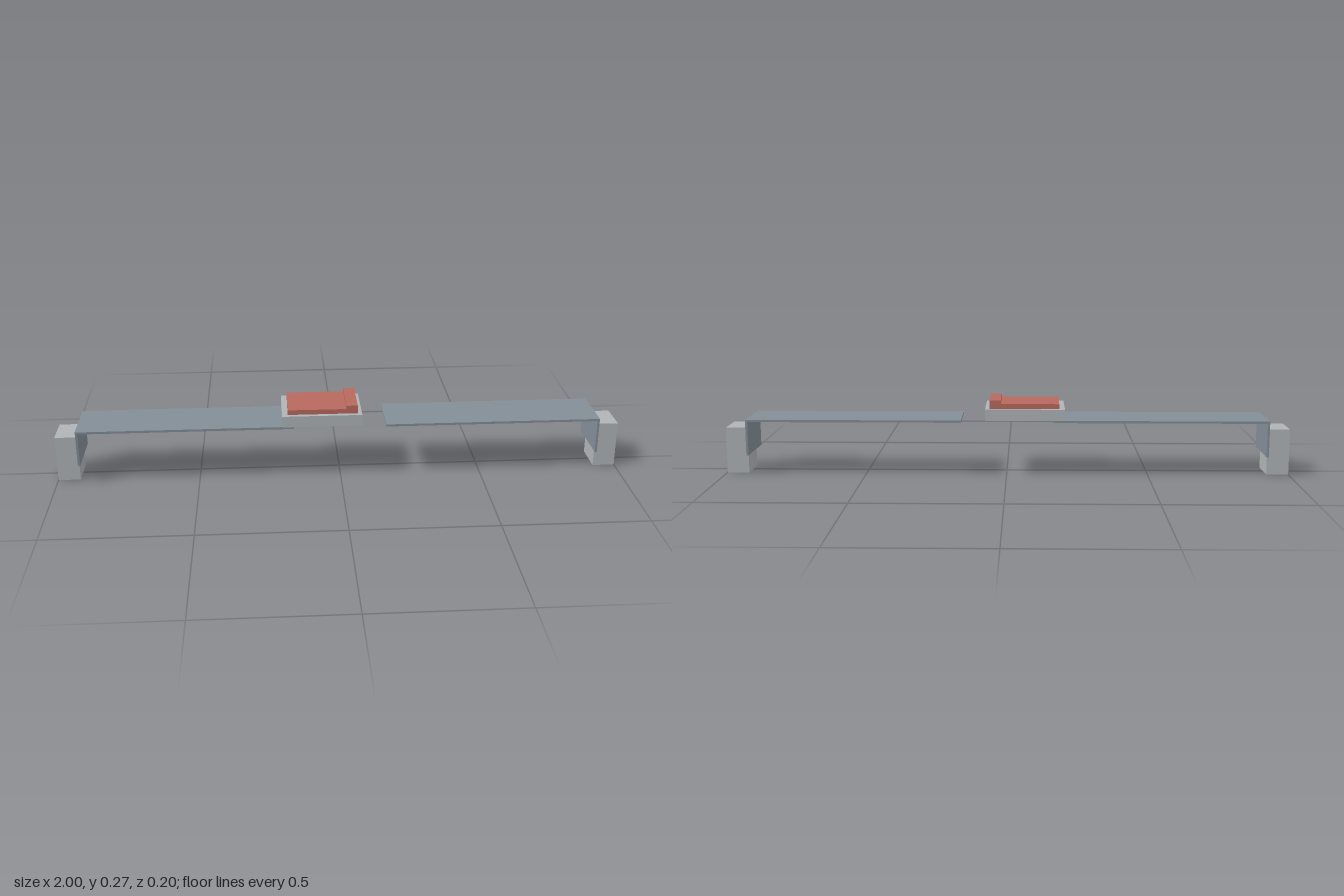
import * as THREE from 'three';

const material = (name, color) => {
  const m = new THREE.MeshStandardMaterial({ color });
  m.name = name;
  return m;
};

// Rectangle in the z-y plane with a hole, extruded along x from x0 to x1
function slab(halfZ, y0, y1, x0, x1, hole) {
  const s = new THREE.Shape();
  s.moveTo(-halfZ, y0).lineTo(halfZ, y0).lineTo(halfZ, y1).lineTo(-halfZ, y1).closePath();
  s.holes.push(hole);
  const g = new THREE.ExtrudeGeometry(s, { depth: x1 - x0, bevelEnabled: false, curveSegments: 32 });
  return g.rotateY(Math.PI / 2).translate(x0, 0, 0);
}

function block(x0, x1, y0, y1, halfZ) {
  return new THREE.BoxGeometry(x1 - x0, y1 - y0, halfZ * 2)
    .translate((x0 + x1) / 2, (y0 + y1) / 2, 0);
}

// L-shaped webbing: a long flat run folded down at its outer end
function strapGeometry(side, inner) {
  const outer = 0.921, top = 0.198, t = 0.008;
  const points = [[inner, top - t], [outer - t, top - t], [outer - t, 0.07],
    [outer, 0.07], [outer, top], [inner, top]];
  const s = new THREE.Shape(points.map(([x, y]) => new THREE.Vector2(side * x, y)));
  return new THREE.ExtrudeGeometry(s, { depth: 0.196, bevelEnabled: false }).translate(0, 0, -0.098);
}

export function createModel() {
  const group = new THREE.Group();
  const metal = material('lightGreyMetal', 0xb0b4b6);
  const webbing = material('slateWebbing', 0x838e97);
  const red = material('redButton', 0xb8695e);
  const add = (name, geometry, mat, parent = group) => {
    const mesh = new THREE.Mesh(geometry, mat);
    mesh.name = name;
    parent.add(mesh);
  };

  // Straps and drilled anchor blocks at both ends
  for (const side of [-1, 1]) {
    const label = side > 0 ? 'left' : 'right';
    add(label + 'Strap', strapGeometry(side, side > 0 ? 0.16 : 0.165), webbing);
    const bolt = new THREE.Path();
    bolt.absarc(0, 0.082, 0.021, 0, Math.PI * 2, true);
    const [x0, x1] = side > 0 ? [0.922, 1] : [-1, -0.922];
    add(label + 'Anchor', slab(0.06, 0, 0.163, x0, x1, bolt), metal);
  }

  // Buckle body with a slot in its open end
  const buckle = new THREE.Group();
  buckle.name = 'buckle';
  group.add(buckle);
  const slot = new THREE.Path();
  slot.moveTo(-0.05, 0.209).lineTo(-0.05, 0.226).lineTo(0.05, 0.226).lineTo(0.05, 0.209).closePath();
  add('buckleBody', block(-0.205, -0.025, 0.198, 0.238, 0.101), metal, buckle);
  add('buckleSlotEnd', slab(0.101, 0.198, 0.238, -0.025, 0.075, slot), metal, buckle);

  // Release button with a raised ridge
  add('button', block(-0.185, 0.02, 0.238, 0.255, 0.085), red, buckle);
  add('buttonRidge', block(0.02, 0.06, 0.238, 0.267, 0.085), red, buckle);

  return group;
}
